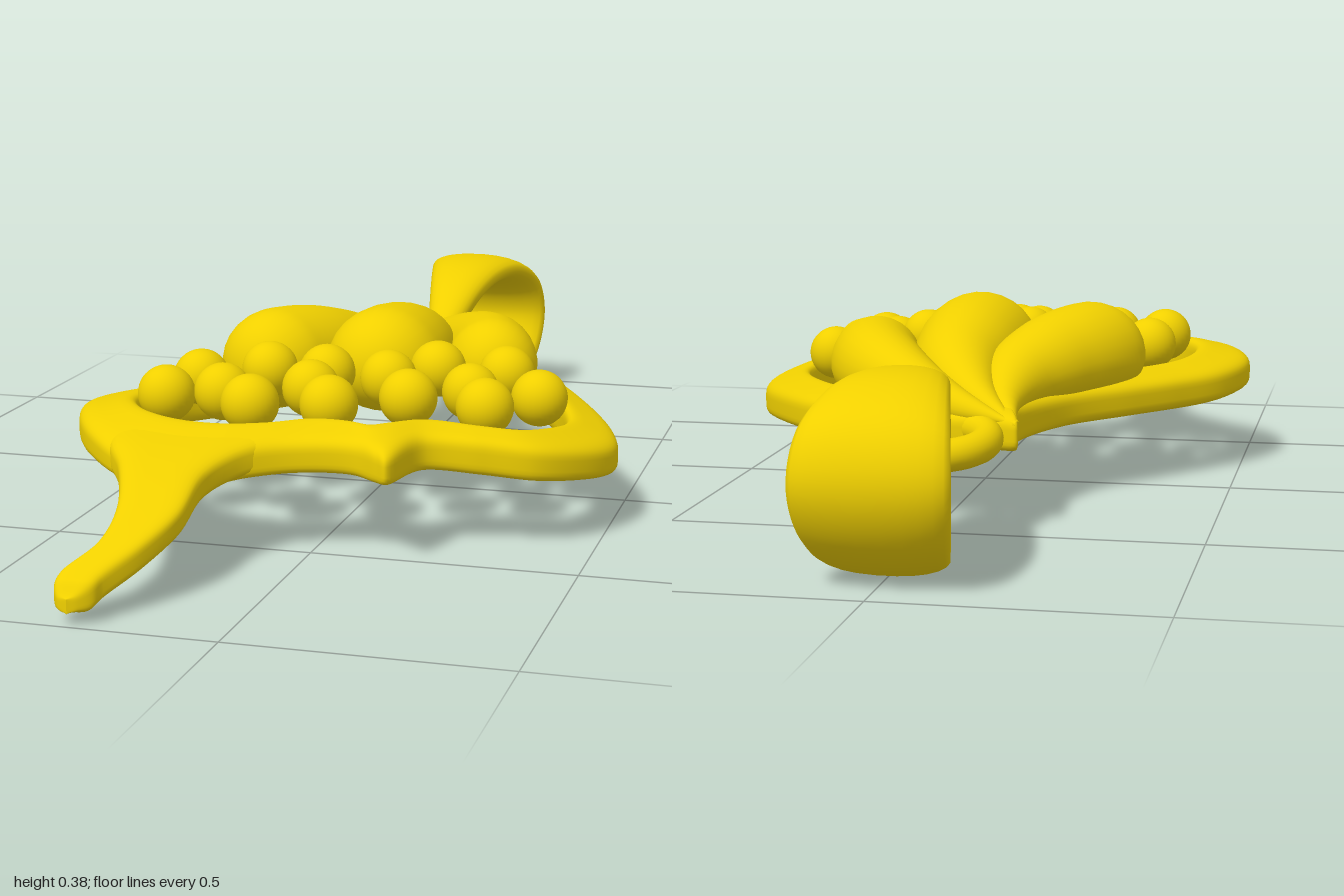
import * as THREE from 'three';

const gold = new THREE.MeshStandardMaterial({ color: 0xf0d000 });

function part(name, geometry, parent) {
  const mesh = new THREE.Mesh(geometry, gold);
  mesh.name = name;
  parent.add(mesh);
  return mesh;
}

// Skin a list of rings (arrays of Vector3); closed joins the last ring to the first
function loft(rings, closed) {
  const n = rings[0].length, m = rings.length, index = [];
  const pts = rings.flat();
  for (let i = 0; i < (closed ? m : m - 1); i++) {
    for (let j = 0; j < n; j++) {
      const a = i * n + j, b = i * n + (j + 1) % n;
      const c = ((i + 1) % m) * n + j, d = ((i + 1) % m) * n + (j + 1) % n;
      index.push(a, b, c, b, d, c);
    }
  }
  // Turn the faces outward if the enclosed volume is negative
  let volume = 0;
  const cross = new THREE.Vector3();
  for (let i = 0; i < index.length; i += 3) {
    volume += pts[index[i]].dot(cross.crossVectors(pts[index[i + 1]], pts[index[i + 2]]));
  }
  if (volume < 0) index.reverse();
  const g = new THREE.BufferGeometry().setFromPoints(pts);
  g.setIndex(index);
  g.computeVertexNormals();
  return g;
}

// Rounded cross-section as [u, v] pairs from -1 to 1; a lower power is squarer
function section(sides, power) {
  return Array.from({ length: sides }, (_, j) => {
    const a = (j + 0.5) / sides * Math.PI * 2;
    return [Math.cos(a), Math.sin(a)].map(k => Math.sign(k) * Math.abs(k) ** power);
  });
}

// Height of the middle of the bent frame
function frameHeight(x, z) {
  return 0.198 - 0.46 * Math.max(0, z - 0.4) ** 2 - 0.17 * Math.max(0, x) ** 2
    - 0.018 * (1 - THREE.MathUtils.smoothstep(z, 0.1, 0.45));
}

// Bent band between two edges, given as [x, z, x, z] pairs of opposite points;
// tilt raises and thickens the second edge
function bandGeometry(pairs, steps, closed, tilt) {
  const edges = [0, 2].map(k => new THREE.CatmullRomCurve3(
    pairs.map(p => new THREE.Vector3(p[k], 0, p[k + 1])), closed));
  const rings = [], profile = section(32, 0.5);
  for (let i = 0; i < (closed ? steps : steps + 1); i++) {
    const [a, b] = edges.map(e => e.getPoint(i / steps));
    rings.push(profile.map(([u, v]) => {
      const p = a.clone().lerp(b, (u + 1) / 2);
      const thick = 0.039 + tilt * u - 0.012 * THREE.MathUtils.smoothstep(p.z, 0.45, 0.9)
        - 0.014 * THREE.MathUtils.smoothstep(p.z, 0.97, 0.995);
      p.y = frameHeight(p.x, p.z) + tilt * u + v * thick;
      return p;
    }));
  }
  return loft(rings, closed);
}

// Teardrop swelling from a point to a round bulb along a curved path, flatter underneath
function petalGeometry(path, width, height, rise, sharpness) {
  const curve = new THREE.CatmullRomCurve3(path.map(([x, z]) => new THREE.Vector3(x, 0, z)));
  const peak = 1 - width / curve.getLength();
  const rings = [], steps = 44, profile = section(28, 1);
  for (let i = 0; i <= steps; i++) {
    const t = Math.sin(i / steps * Math.PI / 2);
    const c = curve.getPointAt(t), d = curve.getTangentAt(t);
    const swell = Math.sin(Math.PI / 2 * Math.min(1, t / peak));
    const f = t < peak ? swell ** sharpness
      : Math.sqrt(Math.max(0, 1 - ((t - peak) / (1 - peak)) ** 2));
    const s = Math.max(f, t < 0.5 ? 0.06 : 0.001);
    rings.push(profile.map(([u, v]) => new THREE.Vector3(
      c.x - d.z * u * width * s,
      0.195 + rise * swell + (v > 0 ? v : v * 0.85) * height * s,
      c.z + d.x * u * width * s)));
  }
  return loft(rings, false);
}

// Tapered band looping in the y-z plane, wide at the back and narrow at the ring
function bailGeometry() {
  const curve = new THREE.CatmullRomCurve3([
    [0.2, -0.5], [0.265, -0.575], [0.308, -0.7], [0.305, -0.835], [0.255, -0.937], [0.18, -0.968],
    [0.1, -0.937], [0.04, -0.855], [0.037, -0.745], [0.085, -0.6], [0.14, -0.52]
  ].map(([y, z]) => new THREE.Vector3(0, y, z)), true);
  const rings = [], steps = 72, profile = section(24, 0.9);
  for (let i = 0; i < steps; i++) {
    const c = curve.getPointAt(i / steps), d = curve.getTangentAt(i / steps);
    const w = THREE.MathUtils.mapLinear(c.z, -0.968, -0.5, 0.137, 0.035);
    rings.push(profile.map(([u, v]) => new THREE.Vector3(
      u * w, c.y - d.z * v * 0.032, c.z + d.y * v * 0.032)));
  }
  return loft(rings, true);
}

export function createModel() {
  const model = new THREE.Group();
  model.name = 'pendant';

  // Frame around the opening: outer edge, inner edge
  part('frame', bandGeometry([
    [-0.147, -0.445, -0.09, -0.32], [-0.1, -0.435, -0.06, -0.33], [-0.01, -0.425, -0.02, -0.33],
    [0.085, -0.4, 0.05, -0.315], [0.2, -0.33, 0.14, -0.27],
    [0.3, -0.24, 0.24, -0.185], [0.41, -0.08, 0.335, -0.04],
    [0.49, 0.08, 0.395, 0.1], [0.51, 0.185, 0.405, 0.17], [0.476, 0.29, 0.385, 0.25],
    [0.4, 0.38, 0.345, 0.32], [0.3, 0.41, 0.28, 0.345], [0.2, 0.44, 0.18, 0.355],
    [0.158, 0.55, 0.12, 0.415], [0.135, 0.54, 0.095, 0.44], [0.085, 0.515, 0.05, 0.43],
    [-0.02, 0.53, -0.01, 0.43], [-0.1, 0.57, -0.08, 0.47], [-0.17, 0.63, -0.17, 0.49],
    [-0.3, 0.63, -0.26, 0.48], [-0.42, 0.53, -0.34, 0.44], [-0.487, 0.42, -0.385, 0.37],
    [-0.51, 0.32, -0.39, 0.3], [-0.47, 0.195, -0.365, 0.21], [-0.39, 0.08, -0.3, 0.12],
    [-0.31, -0.02, -0.2, 0], [-0.2, -0.16, -0.12, -0.12], [-0.14, -0.32, -0.09, -0.26],
    [-0.137, -0.4, -0.09, -0.3]
  ], 260, true, 0.006), model);

  // Drooping tail, blended into the frame
  part('tail', bandGeometry([
    [-0.38, 0.53, -0.06, 0.53], [-0.355, 0.59, -0.108, 0.59], [-0.31, 0.66, -0.14, 0.67],
    [-0.262, 0.79, -0.143, 0.79], [-0.262, 0.88, -0.177, 0.88], [-0.3, 0.95, -0.22, 0.95],
    [-0.3, 0.972, -0.23, 0.972], [-0.287, 0.99, -0.25, 0.988], [-0.268, 0.996, -0.268, 0.996]
  ], 80, false, 0), model);

  // Three petals fanning out from the top point
  const petals = new THREE.Group();
  petals.name = 'petals';
  model.add(petals);
  part('rightPetal', petalGeometry(
    [[-0.145, -0.44], [-0.1, -0.32], [-0.1, -0.19], [-0.145, -0.07], [-0.205, 0.05], [-0.235, 0.16]],
    0.112, 0.108, 0.06, 1.15), petals);
  part('middlePetal', petalGeometry(
    [[-0.145, -0.44], [-0.045, -0.32], [0.012, -0.185], [0.022, -0.05], [0.015, 0.17]],
    0.118, 0.113, 0.07, 1.15), petals);
  part('leftPetal', petalGeometry(
    [[-0.145, -0.44], [-0.01, -0.375], [0.095, -0.285], [0.175, -0.17], [0.21, -0.07], [0.22, 0.015]],
    0.092, 0.093, 0.052, 1), petals);

  // Loose beads filling the opening: [x, y, z]
  const beads = new THREE.Group();
  beads.name = 'beads';
  model.add(beads);
  const bead = new THREE.SphereGeometry(0.055, 28, 20);
  [[-0.307, 0.255, 0.23], [-0.175, 0.272, 0.2], [-0.055, 0.275, 0.21], [0.07, 0.272, 0.215],
    [0.145, 0.275, 0.122], [0.27, 0.26, 0.065], [0.35, 0.232, 0.135], [0.227, 0.25, 0.192],
    [0.277, 0.245, 0.287], [0.138, 0.262, 0.323], [0.003, 0.257, 0.39], [-0.058, 0.265, 0.307],
    [-0.14, 0.258, 0.425], [-0.217, 0.26, 0.357], [-0.322, 0.255, 0.382]
  ].forEach(p => part('bead', bead, beads).position.set(...p));

  // Linking ring and hanging loop
  const ring = part('ring', new THREE.TorusGeometry(0.098, 0.03, 20, 56), model);
  ring.position.set(0, 0.17, -0.483);
  ring.rotation.x = Math.PI / 2 - 0.13;
  part('bail', bailGeometry(), model);
  return model;
}
